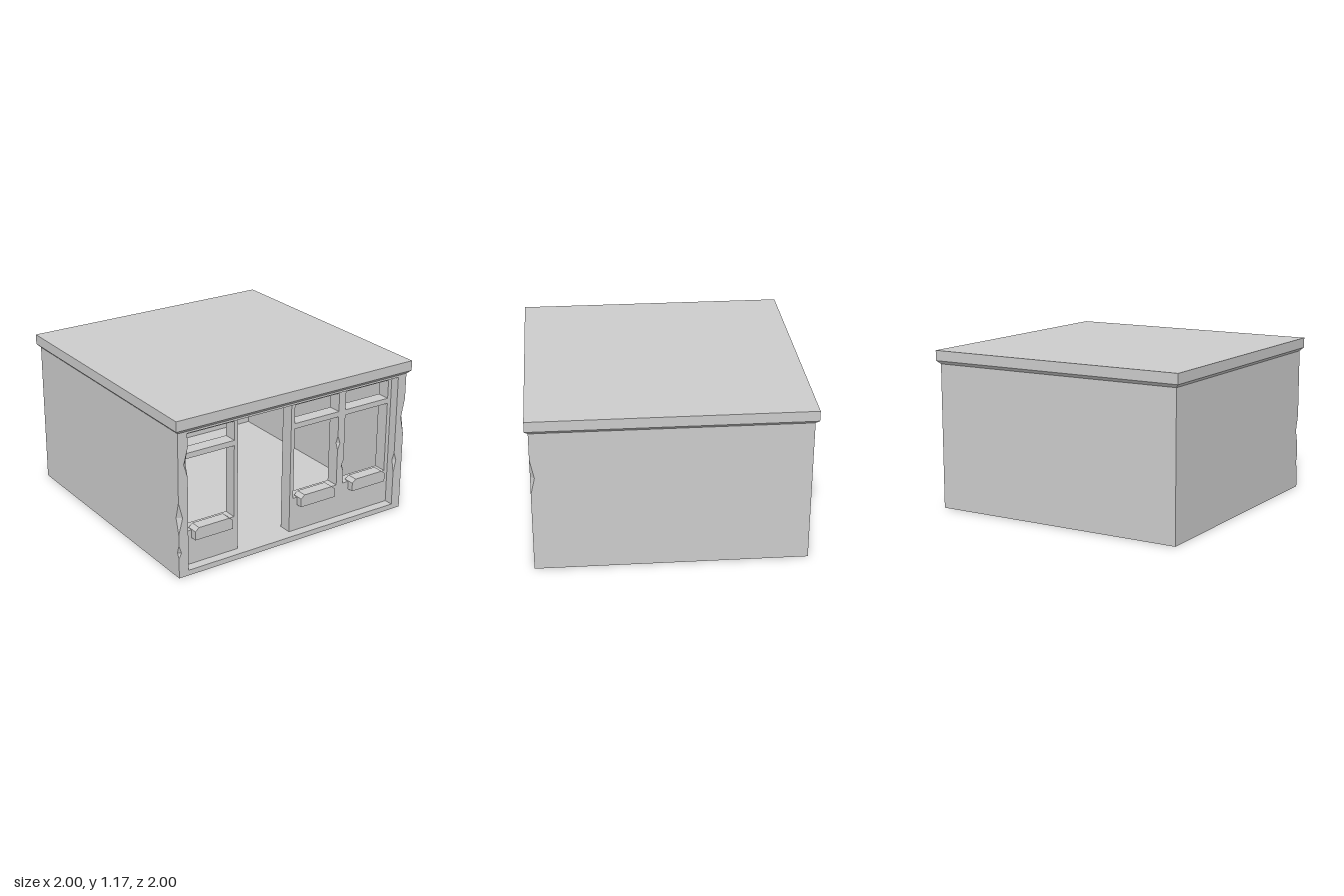
import * as THREE from 'three';

const grey = new THREE.MeshStandardMaterial({ color: 0xcccccc, flatShading: true });

function add(group, name, geometry) {
  const mesh = new THREE.Mesh(geometry, grey);
  mesh.name = name;
  group.add(mesh);
  return mesh;
}

// Box given by its limits
function block(group, name, x0, x1, y0, y1, z0, z1) {
  const mesh = add(group, name, new THREE.BoxGeometry(x1 - x0, y1 - y0, z1 - z0));
  mesh.position.set((x0 + x1) / 2, (y0 + y1) / 2, (z0 + z1) / 2);
  return mesh;
}

// Depth of the chipped corner at height y; a chip is [low, deepest, high, depth]
function chipDepth(chips, y) {
  for (const [low, mid, high, depth] of chips) {
    if (y > low && y < high) {
      return depth * (y <= mid ? (y - low) / (mid - low) : (high - y) / (high - mid));
    }
  }
  return 0;
}

// Upright slab whose two front corners carry wedge-shaped chips
function chippedPost(group, name, x0, x1, y0, y1, z0, z1, chipsAtX0, chipsAtX1) {
  const rows = [y0, y1];
  for (const c of [...chipsAtX0, ...chipsAtX1]) rows.push(c[0], c[1], c[2]);
  rows.sort((a, b) => a - b);
  const positions = [];
  const index = [];
  for (const y of rows) {
    const a = chipDepth(chipsAtX0, y);
    const b = chipDepth(chipsAtX1, y);
    positions.push(x0, y, z0, x0, y, z1 - a, x0 + a, y, z1);
    positions.push(x1 - b, y, z1, x1, y, z1 - b, x1, y, z0);
  }
  for (let r = 0; r < rows.length - 1; r++) {
    for (let i = 0; i < 6; i++) {
      const a = r * 6 + i;
      const b = r * 6 + (i + 1) % 6;
      index.push(a, b, b + 6, a, b + 6, a + 6);
    }
  }
  const top = (rows.length - 1) * 6;
  for (let i = 1; i < 5; i++) {
    index.push(top, top + i, top + i + 1, 0, i + 1, i);
  }
  const geometry = new THREE.BufferGeometry();
  geometry.setAttribute('position', new THREE.Float32BufferAttribute(positions, 3));
  geometry.setIndex(index);
  const flat = geometry.toNonIndexed();
  flat.computeVertexNormals();
  add(group, name, flat);
}

// Planter with clipped upper corners, set on the window sill
function planter(group, x0, x1, z0, z1) {
  const shape = new THREE.Shape();
  shape.moveTo(x0, 0.24);
  shape.lineTo(x1, 0.24);
  shape.lineTo(x1, 0.305);
  shape.lineTo(x1 - 0.03, 0.33);
  shape.lineTo(x0 + 0.03, 0.33);
  shape.lineTo(x0, 0.305);
  shape.closePath();
  const geometry = new THREE.ExtrudeGeometry(shape, { depth: z1 - z0, bevelEnabled: false });
  add(group, 'planter', geometry).position.z = z0;
}

export function createModel() {
  const model = new THREE.Group();
  model.name = 'shopBuilding';
  const W = 0.975;   // outer wall
  const I = 0.9;     // inner wall
  const floorY = 0.04;
  const ceilingY = 1.06;

  // Shell
  block(model, 'floor', -W, W, 0, floorY, -W, W);
  block(model, 'ceiling', -W, W, ceilingY, 1.1, -W, W);
  block(model, 'backWall', -I, I, floorY, ceilingY, -W, -I);
  chippedPost(model, 'rightWall', -W, -I, floorY, ceilingY, -W, W,
    [[0.15, 0.19, 0.25, 0.02], [0.33, 0.45, 0.57, 0.032]],
    [[0.74, 0.84, 0.95, 0.03]]);
  chippedPost(model, 'leftWall', I, W, floorY, ceilingY, -W, W,
    [[0.3, 0.4, 0.46, 0.02]],
    [[0.6, 0.73, 0.88, 0.03]]);

  // Roof slab on a sloping moulding
  block(model, 'roof', -1, 1, 1.1, 1.175, -1, 1);
  const moulding = add(model, 'roofMoulding',
    new THREE.CylinderGeometry(Math.SQRT2, W * Math.SQRT2, 0.025, 4, 1, false, Math.PI / 4));
  moulding.position.y = 1.0875;

  // Recessed shop front: framed windows either side of the open doorway
  const front = 0.905;
  const back = 0.805;
  const windows = [
    { x0: -0.87, x1: -0.48, box: [-0.83, -0.52] },
    { x0: 0.03, x1: 0.42, box: [0.065, 0.37] },
    { x0: 0.48, x1: 0.87, box: [0.53, 0.835] },
  ];
  const shopFront = new THREE.Group();
  shopFront.name = 'shopFront';
  model.add(shopFront);
  for (const { x0, x1, box } of windows) {
    block(shopFront, 'windowApron', x0, x1, floorY, 0.3, back, front);
    block(shopFront, 'transom', x0, x1, 0.84, 0.88, back, front);
    block(shopFront, 'headRail', x0, x1, 1.02, ceilingY, back, front);
    planter(shopFront, box[0], box[1], 0.87, 0.955);
  }
  for (const [x0, x1] of [[-0.9, -0.87], [-0.48, -0.45], [0, 0.03], [0.87, 0.9]]) {
    block(shopFront, 'stile', x0, x1, floorY, ceilingY, back, front);
  }
  chippedPost(shopFront, 'mullion', 0.42, 0.48, floorY, ceilingY, back, front,
    [[0.58, 0.63, 0.69, 0.02]],
    [[0.4, 0.44, 0.49, 0.02]]);

  return model;
}
